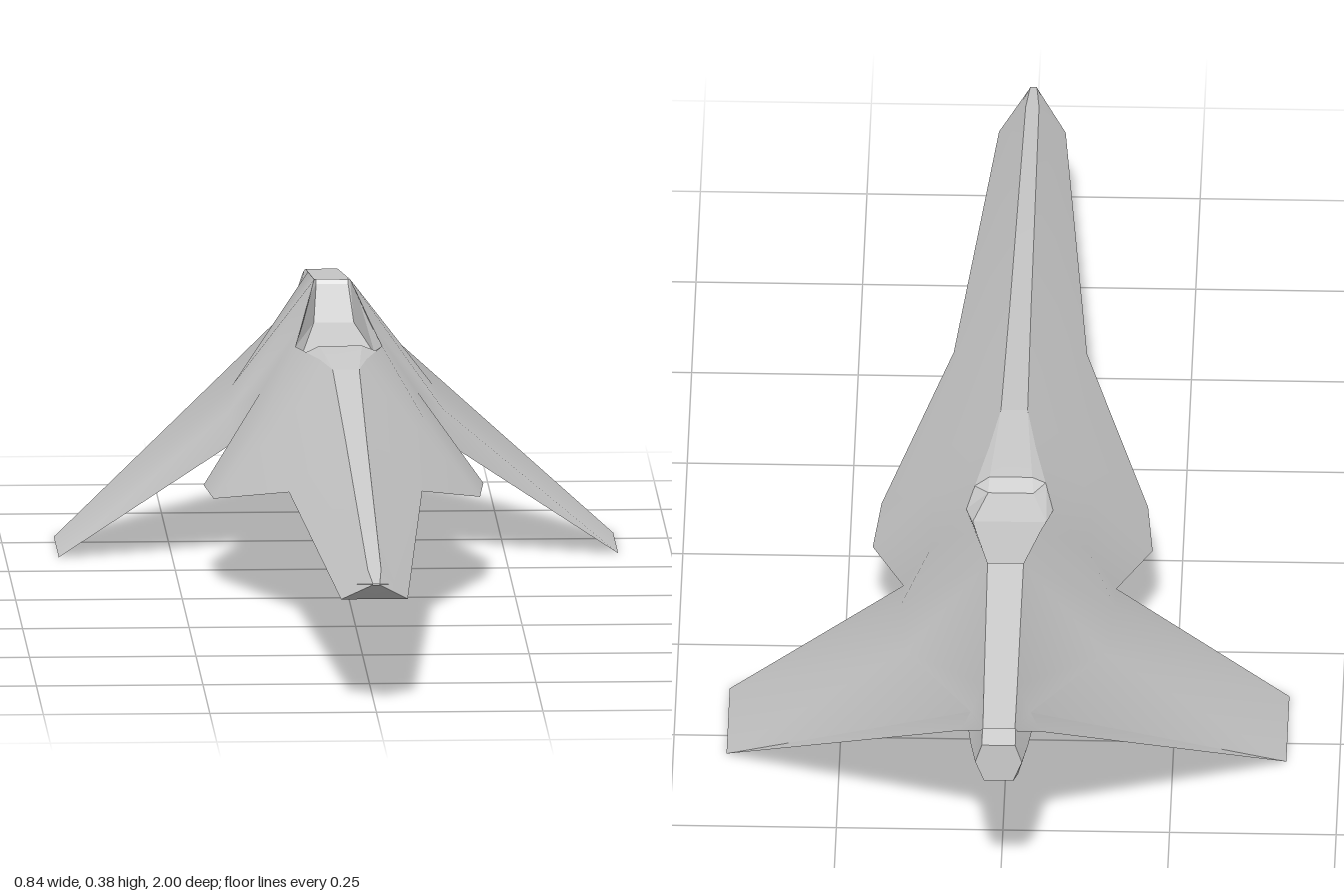
import * as THREE from 'three';
import { toCreasedNormals } from 'three/addons/utils/BufferGeometryUtils.js';

const material = new THREE.MeshStandardMaterial({ color: 0xcccccc });

// Skin rows of points running front to back; flip(j, n) picks the quad diagonal.
function loft(name, rows, { crease = 0.5, flip = () => false, capEnd = false } = {}) {
  const positions = [];
  const tri = (...pts) => {
    const [a, b, c] = pts.map((p) => new THREE.Vector3(...p));
    if (b.clone().sub(a).cross(c.clone().sub(a)).length() < 1e-7) return;
    for (const p of pts) positions.push(...p);
  };
  for (let i = 0; i < rows.length - 1; i++) {
    const n = rows[i].length - 1;
    for (let j = 0; j < n; j++) {
      const a = rows[i][j], b = rows[i][j + 1], c = rows[i + 1][j + 1], d = rows[i + 1][j];
      if (flip(j, n)) { tri(a, b, d); tri(b, c, d); }
      else { tri(a, b, c); tri(a, c, d); }
    }
  }
  if (capEnd) {
    const r = rows[rows.length - 1];
    for (let j = 1; j < r.length - 1; j++) tri(r[0], r[j], r[j + 1]);
  }
  const geometry = new THREE.BufferGeometry();
  geometry.setAttribute('position', new THREE.Float32BufferAttribute(positions, 3));
  const mesh = new THREE.Mesh(toCreasedNormals(geometry, crease), material);
  mesh.name = name;
  return mesh;
}

const mirror = ([x, y, z]) => [-x, y, z];

// Half section (first point at the top, last on the keel line) to full section
const wrap = (half) => [...half, ...half.slice(0, -1).reverse().map(mirror)];

// Half row given from the outside in, to a full row running -x to +x
const across = (half) => [...half.map(mirror), ...half.slice().reverse()];

export function createModel() {
  const model = new THREE.Group();
  model.name = 'spacecraft';

  // Hull and wings: ridge, shoulder, outer edge, underside, keel
  const hull = [
    [[0.005, 0.2, 1], [0.005, 0.2, 1], [0.005, 0.199, 1], [0.003, 0.199, 1], [0, 0.199, 1]],
    [[0.01, 0.21, 0.93], [0.03, 0.188, 0.93], [0.05, 0.165, 0.93], [0.03, 0.165, 0.93], [0, 0.165, 0.93]],
    [[0.016, 0.293, 0.25], [0.057, 0.254, 0.25], [0.1, 0.21, 0.25], [0.08, 0.19, 0.25], [0, 0.187, 0.25]],
    [[0.02, 0.335, -0.1], [0.11, 0.245, -0.08], [0.2, 0.145, -0.07], [0.06, 0.163, -0.08], [0, 0.164, -0.08]],
    [[0.035, 0.333, -0.2], [0.12, 0.245, -0.19], [0.21, 0.145, -0.19], [0.08, 0.163, -0.19], [0, 0.165, -0.19]],
    [[0.065, 0.325, -0.36], [0.118, 0.255, -0.36], [0.16, 0.18, -0.35], [0.1, 0.178, -0.36], [0, 0.18, -0.36]],
    [[0.049, 0.3475, -0.45], [0.16, 0.213, -0.45], [0.42, 0.005, -0.37], [0.16, 0.19, -0.45], [0, 0.2, -0.45]],
    [[0.027, 0.385, -0.6], [0.15, 0.225, -0.6], [0.42, 0.005, -0.55], [0.14, 0.207, -0.6], [0, 0.235, -0.6]],
    [[0.025, 0.348, -0.88], [0.045, 0.3, -0.88], [0.06, 0.266, -0.88], [0.04, 0.27, -0.88], [0, 0.285, -0.88]],
    [[0.024, 0.335, -0.98], [0.026, 0.333, -0.98], [0.028, 0.33, -0.98], [0.015, 0.33, -0.98], [0, 0.33, -0.98]],
  ];
  model.add(loft('hullAndWings', hull.map(wrap), {
    crease: 0.7,
    flip: (j) => j < 2 || (j >= 4 && j < 6), // same diagonals on both halves
  }));

  // Flat strips along the top, before and behind the cockpit
  const ridge = (from, to) => hull.slice(from, to).map((r) => across([r[0]]));
  model.add(loft('noseDeck', ridge(0, 4)));
  model.add(loft('rearSpine', ridge(7, 10)));

  // Cockpit: rim and inner panel, a raised hood stepping down to a sunken floor
  const cockpit = [
    [[0.02, 0.335, -0.1], [0.02, 0.335, -0.1]],
    [[0.035, 0.333, -0.2], [0.026, 0.337, -0.2]],
    [[0.052, 0.3285, -0.29], [0.032, 0.338, -0.29]],
    [[0.054, 0.328, -0.3], [0.034, 0.316, -0.3]],
    [[0.065, 0.325, -0.36], [0.055, 0.31, -0.37]],
    [[0.0365, 0.37, -0.54], [0.03, 0.33, -0.54]],
    [[0.027, 0.385, -0.6], [0.024, 0.378, -0.6]],
    [[0.027, 0.385, -0.6], [0.024, 0.385, -0.605]],
  ];
  model.add(loft('cockpit', cockpit.map(across), { crease: 0.2 }));

  // Six-sided engine nozzle under the tail
  const nozzle = [
    [-0.66, 0.02, 0.275, 0.035, 0.26, 0.02, 0.242],
    [-0.82, 0.025, 0.31, 0.05, 0.28, 0.035, 0.24],
    [-0.89, 0.025, 0.33, 0.05, 0.287, 0.03, 0.237],
    [-0.95, 0.025, 0.332, 0.043, 0.287, 0.028, 0.235],
    [-1, 0.025, 0.318, 0.035, 0.288, 0.022, 0.255],
  ].map(([z, tx, ty, mx, my, bx, by]) => {
    const half = [[tx, ty, z], [mx, my, z], [bx, by, z]];
    const ring = [...half, ...half.slice().reverse().map(mirror)];
    return [...ring, ring[0]];
  });
  model.add(loft('nozzle', nozzle, { crease: 0.3, capEnd: true }));

  return model;
}
